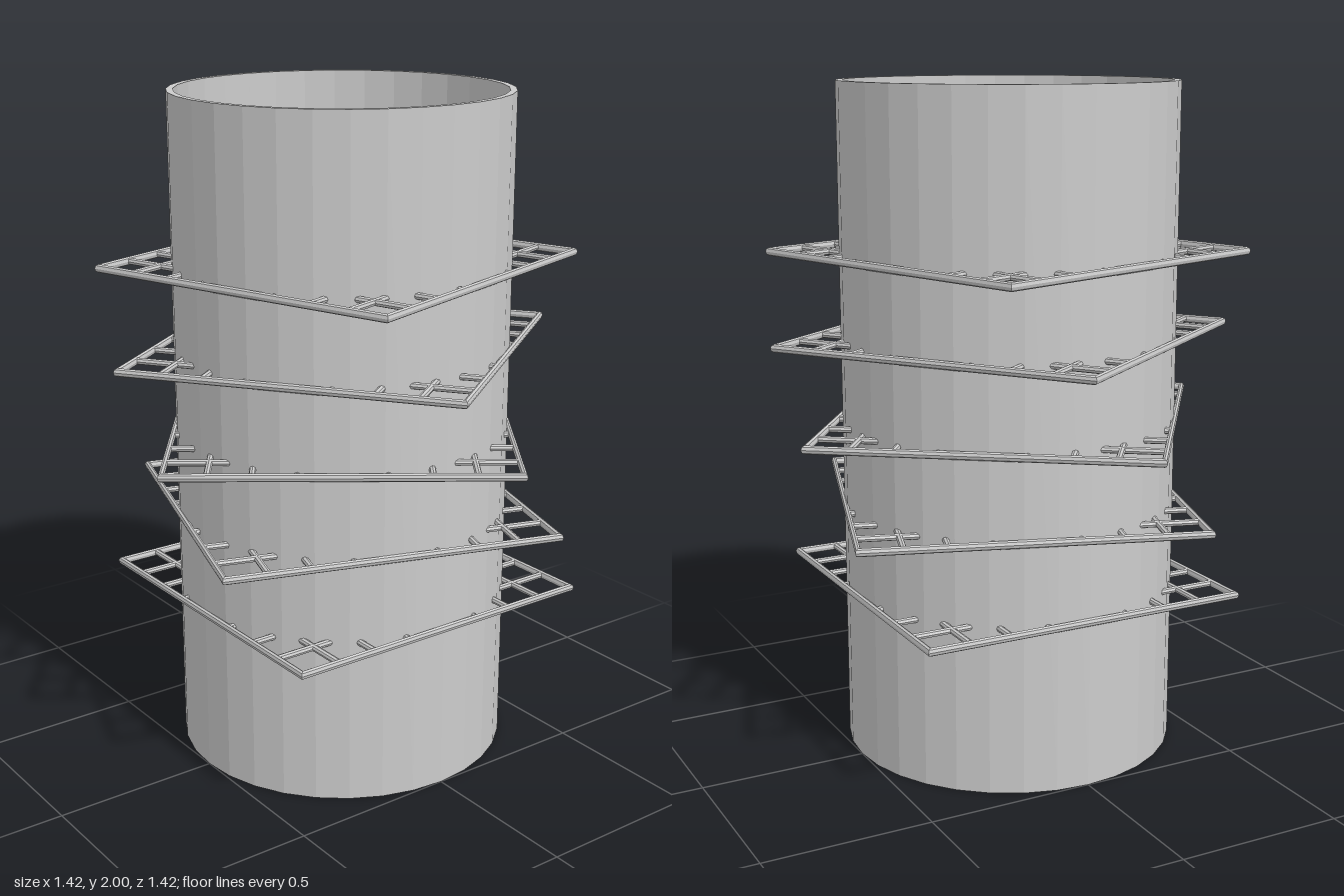
import * as THREE from 'three';

const material = new THREE.MeshStandardMaterial({ color: 0xcccccc, flatShading: true });

function part(name, geometry) {
  const mesh = new THREE.Mesh(geometry, material);
  mesh.name = name;
  return mesh;
}

// Square lattice lying flat, one unit wide, with a mitred rim
function createGrid() {
  const grid = new THREE.Group();

  // Rim: a four-sided ring turned so its edges follow x and z
  const rim = new THREE.TorusGeometry(Math.SQRT1_2, 0.0125, 8, 4);
  rim.rotateZ(Math.PI / 4).rotateX(Math.PI / 2);
  grid.add(part('gridRim', rim));

  // Seven bars each way, evenly spaced
  const alongX = new THREE.CylinderGeometry(0.01, 0.01, 1, 8).rotateZ(Math.PI / 2);
  const alongZ = new THREE.CylinderGeometry(0.01, 0.01, 1, 8).rotateX(Math.PI / 2);
  for (let i = -3; i <= 3; i++) {
    const barX = part('gridBarAcross', alongX);
    barX.position.z = i * 0.125;
    const barZ = part('gridBarDeep', alongZ);
    barZ.position.x = i * 0.125;
    grid.add(barX, barZ);
  }
  return grid;
}

export function createModel() {
  const model = new THREE.Group();
  model.name = 'tubeWithGrids';

  // Open hollow tube: closed wall profile swept around y
  const wall = [[0.48, 0], [0.5, 0], [0.5, 2], [0.48, 2], [0.48, 0]]
    .map(([r, y]) => new THREE.Vector2(r, y));
  model.add(part('tube', new THREE.LatheGeometry(wall, 32)));

  // Stack of grids, each turned 18 degrees from the one below
  for (let i = 0; i < 5; i++) {
    const grid = createGrid();
    grid.name = `grid${i + 1}`;
    grid.position.y = 0.5 + i * 0.25;
    grid.rotation.y = -i * Math.PI / 10;
    model.add(grid);
  }
  return model;
}
